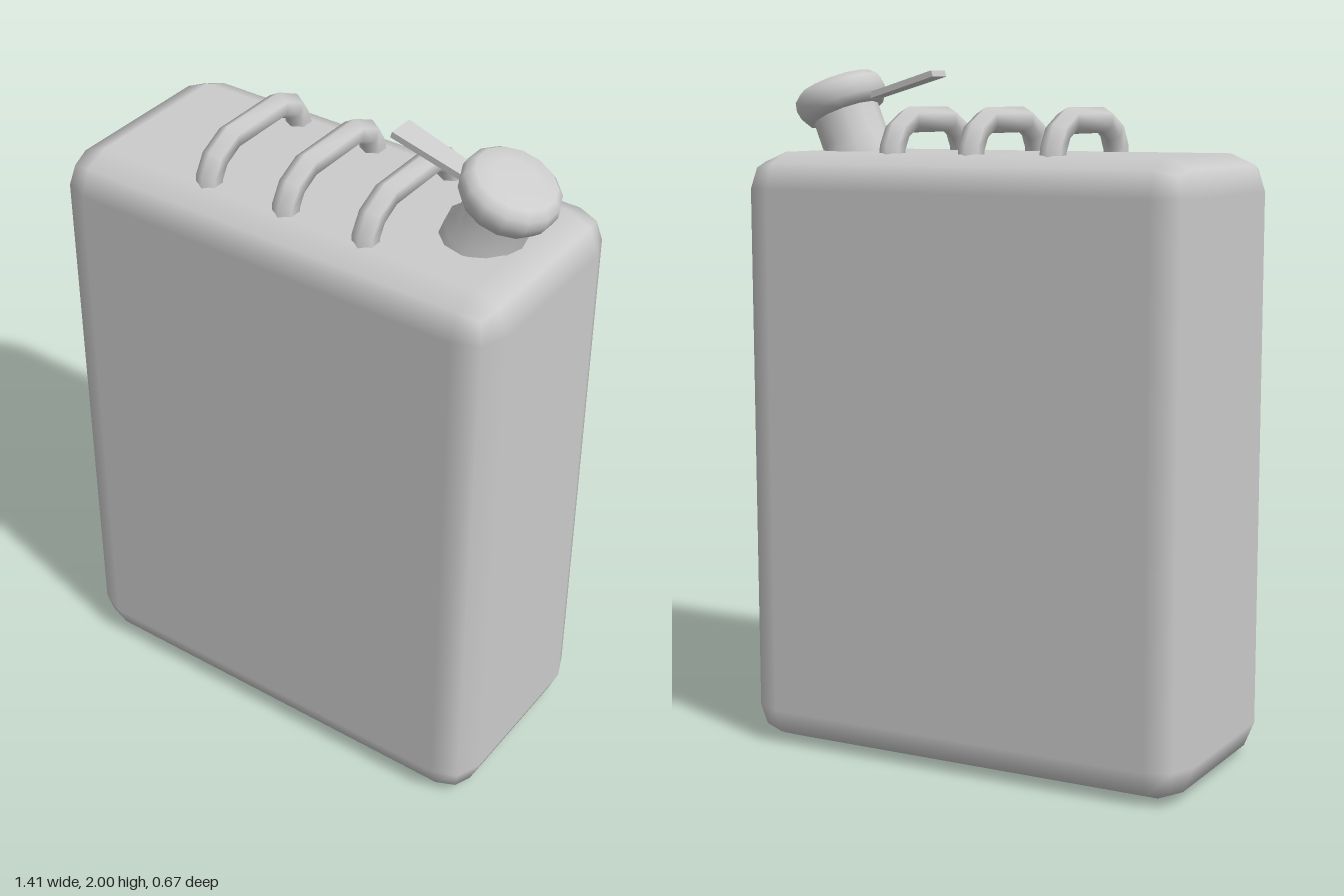
import * as THREE from 'three';

const material = new THREE.MeshStandardMaterial({ color: 0xcccccc, side: THREE.DoubleSide });

function add(parent, name, geometry) {
  const mesh = new THREE.Mesh(geometry, material);
  mesh.name = name;
  parent.add(mesh);
  return mesh;
}

// Box with every edge rounded in two 45 degree steps
function softBox(w, h, d, r) {
  const g = new THREE.BoxGeometry(1, 1, 1, 3, 3, 3);
  const p = g.attributes.position, n = g.attributes.normal;
  const core = new THREE.Vector3(w / 2 - r, h / 2 - r, d / 2 - r);
  const v = new THREE.Vector3(), dir = new THREE.Vector3();
  for (let i = 0; i < p.count; i++) {
    v.fromBufferAttribute(p, i);
    const axis = (c) => (Math.abs(c) > 0.4 ? Math.sign(c) : 0);
    dir.set(axis(v.x), axis(v.y), axis(v.z)).normalize();
    v.set(Math.sign(v.x), Math.sign(v.y), Math.sign(v.z)).multiply(core).addScaledVector(dir, r);
    p.setXYZ(i, v.x, v.y, v.z);
    n.setXYZ(i, dir.x, dir.y, dir.z);
  }
  return g;
}

// Six-sided rod swept along a path of [z, y] points, ridge facing outwards
function sweptRod(path, r) {
  const pos = [], index = [], sides = 6;
  path.forEach(([z, y], i) => {
    const a = path[Math.max(i - 1, 0)], b = path[Math.min(i + 1, path.length - 1)];
    const t = new THREE.Vector2(b[0] - a[0], b[1] - a[1]).normalize();
    for (let k = 0; k < sides; k++) {
      const ang = (k / sides) * Math.PI * 2, c = Math.cos(ang) * r;
      pos.push(Math.sin(ang) * r, y + t.x * c, z - t.y * c);
      if (i === 0) continue;
      const k2 = (k + 1) % sides, p0 = (i - 1) * sides, p1 = i * sides;
      index.push(p0 + k, p1 + k, p0 + k2, p0 + k2, p1 + k, p1 + k2);
    }
  });
  const g = new THREE.BufferGeometry();
  g.setAttribute('position', new THREE.Float32BufferAttribute(pos, 3));
  g.setIndex(index);
  g.computeVertexNormals();
  return g;
}

function lathe(points, sides) {
  return new THREE.LatheGeometry(points.map(([r, y]) => new THREE.Vector2(r, y)), sides);
}

export function createModel() {
  const model = new THREE.Group();
  model.name = 'fuelCan';

  // Tank
  add(model, 'tank', softBox(1.41, 1.76, 0.67, 0.105)).position.y = 0.88;

  // Three carrying handles, from the back to the front
  const half = [[0.204, 1.73], [0.202, 1.775], [0.175, 1.82], [0.11, 1.853]];
  const path = [...half.map(([z, y]) => [-z, y]), ...half.reverse()];
  for (const x of [-0.255, 0, 0.255]) add(model, 'handle', sweptRod(path, 0.037)).position.x = x;

  // Spout leaning outwards
  const spout = new THREE.Group();
  spout.name = 'spout';
  spout.position.set(0.555, 1.91, 0);
  spout.rotation.z = -0.385;
  model.add(spout);
  add(spout, 'neck', lathe([[0.118, -0.25], [0.118, -0.155], [0.1, -0.13], [0.1, -0.02]], 12));
  add(spout, 'cap', lathe([
    [0, -0.045], [0.117, -0.045], [0.133, -0.02], [0.138, 0.005],
    [0.133, 0.03], [0.112, 0.05], [0.065, 0.055], [0, 0.055],
  ], 14));

  // Flat lever, wider at its free end
  const leverShape = new THREE.Shape([
    new THREE.Vector2(-0.3, -0.04), new THREE.Vector2(0, -0.028),
    new THREE.Vector2(0, 0.028), new THREE.Vector2(-0.3, 0.04),
  ]);
  const leverGeometry = new THREE.ExtrudeGeometry(leverShape, { depth: 0.018, bevelEnabled: false });
  leverGeometry.rotateX(-Math.PI / 2);
  const lever = add(model, 'lever', leverGeometry);
  lever.position.set(0.505, 1.893, 0);
  lever.rotation.z = -0.28;

  return model;
}
